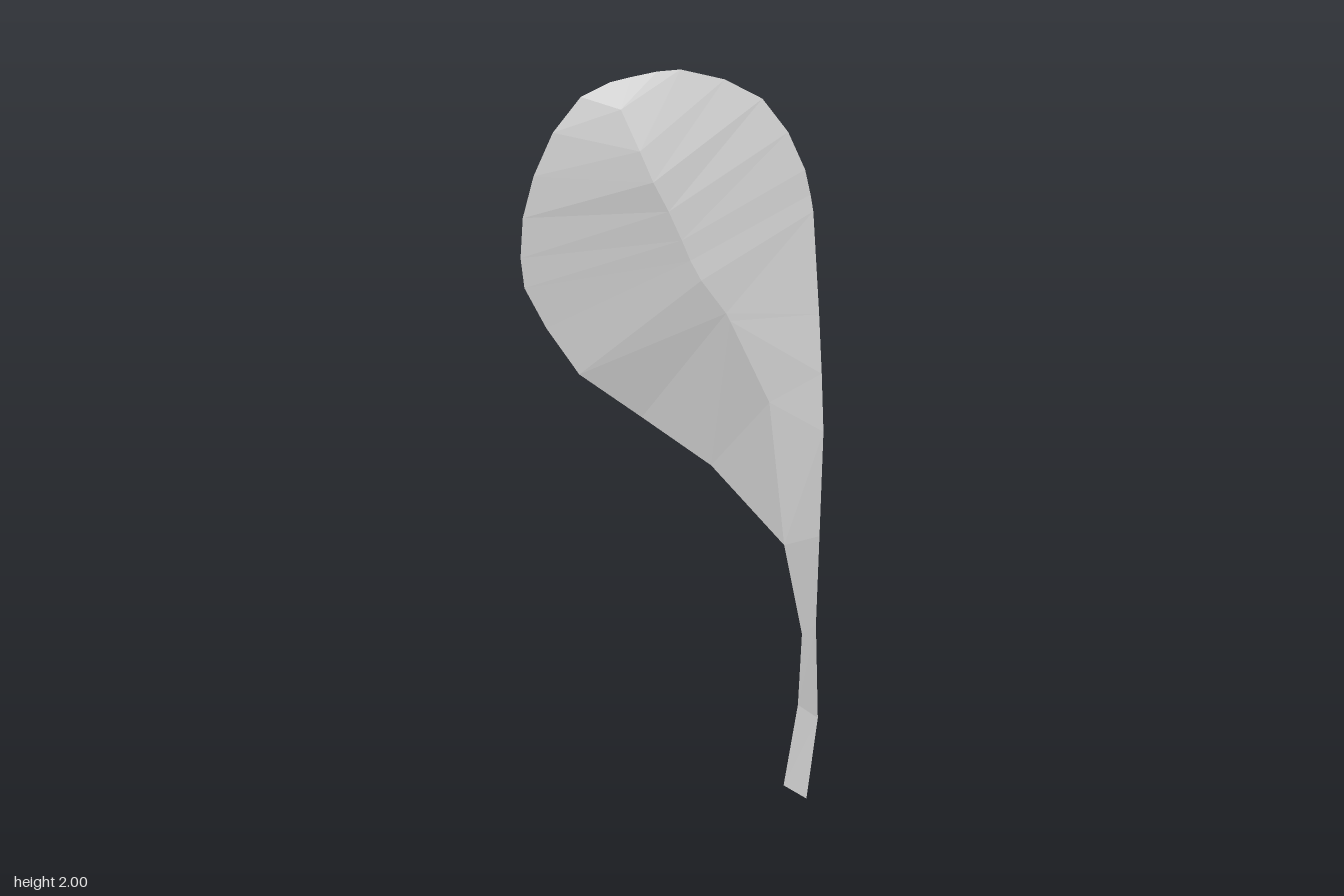
import * as THREE from 'three';

const leafGrey = new THREE.MeshStandardMaterial({ color: 0xcccccc, side: THREE.DoubleSide, flatShading: true });
leafGrey.name = 'leafGrey';

// Joins cross-sections (each a list of x, y, z points from -x to +x) into a thin sheet facing +z.
function sheet(name, sections) {
  const n = sections[0].length;
  const index = [];
  for (let r = 0; r < sections.length - 1; r++) {
    for (let c = 0; c < n - 1; c++) {
      const a = r * n + c, b = a + 1, d = a + n, e = d + 1;
      index.push(a, b, e, a, e, d);
    }
  }
  const geometry = new THREE.BufferGeometry();
  geometry.setAttribute('position', new THREE.Float32BufferAttribute(sections.flat(2), 3));
  geometry.setIndex(index);
  geometry.computeVertexNormals();
  const mesh = new THREE.Mesh(geometry, leafGrey);
  mesh.name = name;
  return mesh;
}

export function createModel() {
  const group = new THREE.Group();
  group.name = 'leaf';

  // Flat bent stalk: left and right edges
  const stalk = [
    [[0.275, 0.05, 0.055], [0.335, 0, 0.08]],
    [[0.32, 0.29, 0.045], [0.375, 0.24, 0.062]],
    [[0.315, 0.52, 0.06], [0.355, 0.54, 0.065]],
    [[0.24, 0.81, 0.077], [0.345, 0.81, 0.08]],
  ];

  // Blade: left edge, raised midrib and right edge, from the stalk to the rounded tip
  const blade = [
    [[0.24, 0.81, 0.077], [0.24, 0.81, 0.077], [0.345, 0.81, 0.08]],
    [[0.07, 1.04, 0], [0.2, 1.2, 0.055], [0.345, 1.1, 0.08]],
    [[-0.1, 1.19, -0.04], [0.1, 1.42, 0.032], [0.343, 1.25, 0.066]],
    [[-0.26, 1.33, -0.045], [0.09, 1.44, 0.03], [0.34, 1.4, 0.05]],
    [[-0.33, 1.45, -0.065], [0.025, 1.53, 0.025], [0.33, 1.65, 0.025]],
    [[-0.375, 1.55, -0.076], [0, 1.58, 0.018], [0.324, 1.69, 0.02]],
    [[-0.38, 1.62, -0.079], [-0.02, 1.63, 0.014], [0.31, 1.75, 0.015]],
    [[-0.37, 1.71, -0.08], [-0.05, 1.7, 0.007], [0.27, 1.84, 0]],
    [[-0.34, 1.8, -0.08], [-0.085, 1.77, 0], [0.21, 1.92, -0.019]],
    [[-0.29, 1.89, -0.08], [-0.11, 1.84, -0.015], [0.12, 1.97, -0.037]],
    [[-0.22, 1.96, -0.08], [-0.14, 1.93, -0.045], [0.015, 2, -0.053]],
    [[-0.15, 1.985, -0.076], [-0.1, 1.993, -0.068], [-0.04, 2, -0.06]],
  ];

  group.add(sheet('stalk', stalk), sheet('blade', blade));
  return group;
}
